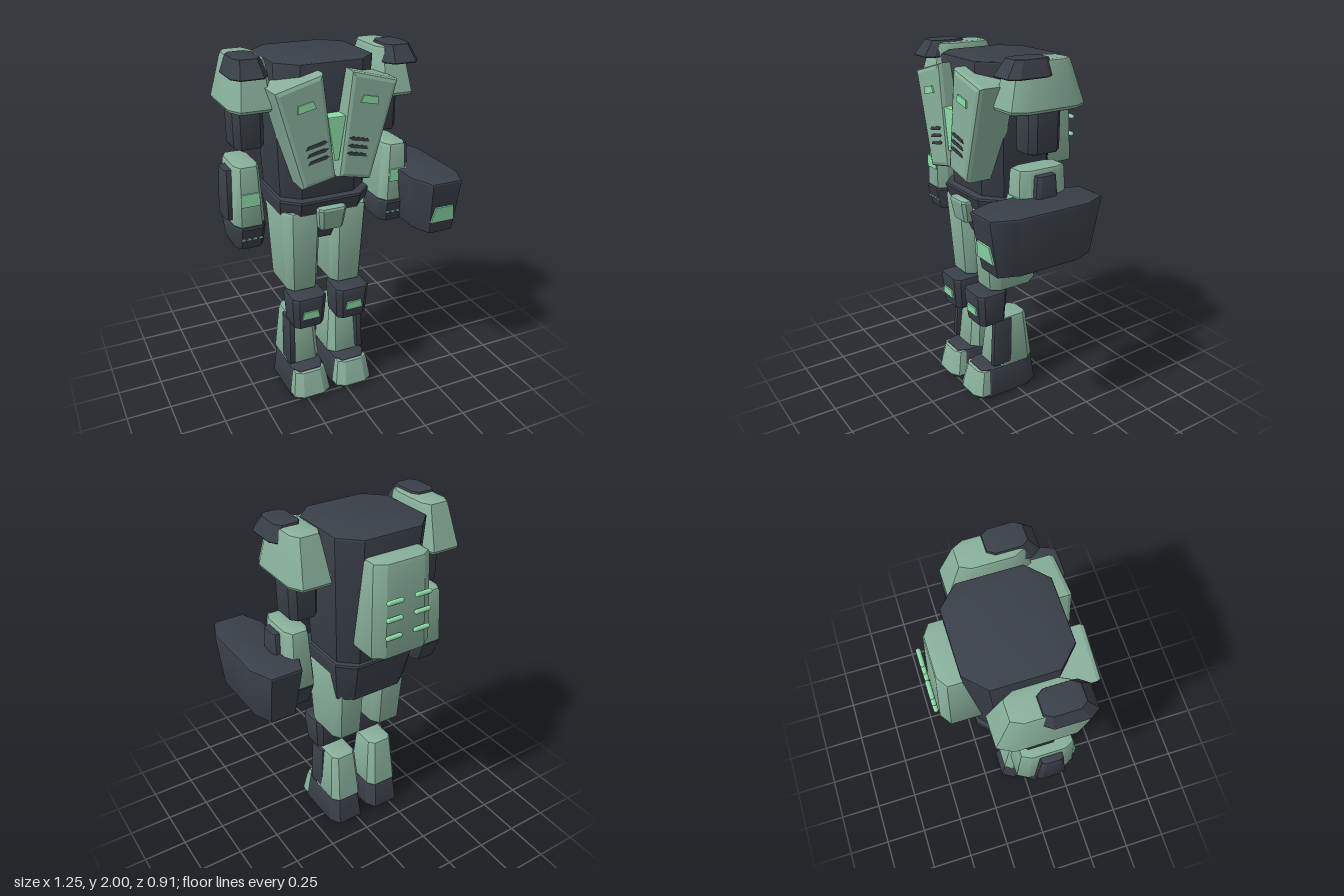
import * as THREE from 'three';
import { toCreasedNormals } from 'three/addons/utils/BufferGeometryUtils.js';

const material = (name, color) => {
  const m = new THREE.MeshStandardMaterial({ color });
  m.name = name;
  return m;
};

// Tapered block with chamfered corners and rounded rims.
// Each end is [y, x0, x1, z0, z1]; f is the chamfer as a share of each side.
function blockGeometry(low, high, f = 0.18, bevel = 0.015) {
  const ring = ([y, x0, x1, z0, z1], inset, lift) => {
    const cx = (x0 + x1) / 2, cz = (z0 + z1) / 2;
    const w = Math.abs(x1 - x0) / 2 - inset, d = Math.abs(z1 - z0) / 2 - inset;
    const k = 1 - 2 * f;
    return [[1, k], [1, -k], [k, -1], [-k, -1], [-1, -k], [-1, k], [-k, 1], [k, 1]]
      .map(([u, v]) => [cx + u * w, y + lift, cz + v * d]);
  };
  const q = 0.29 * bevel;
  const rings = [
    ring(low, bevel, 0), ring(low, q, q), ring(low, 0, bevel),
    ring(high, 0, -bevel), ring(high, q, -q), ring(high, bevel, 0)
  ];
  const pos = [];
  const tri = (...points) => points.forEach(p => pos.push(...p));
  for (let i = 0; i < rings.length - 1; i++) {
    for (let j = 0; j < 8; j++) {
      const n = (j + 1) % 8, a = rings[i], b = rings[i + 1];
      tri(a[j], a[n], b[n]);
      tri(a[j], b[n], b[j]);
    }
  }
  for (let j = 1; j < 7; j++) {
    tri(rings[5][0], rings[5][j], rings[5][j + 1]);
    tri(rings[0][0], rings[0][j + 1], rings[0][j]);
  }
  const g = new THREE.BufferGeometry();
  g.setAttribute('position', new THREE.Float32BufferAttribute(pos, 3));
  return toCreasedNormals(g, 0.5);
}

// Outline extruded towards +z, with an optional bevel kept inside the outline.
function plateGeometry(points, depth = 0.009, bevel = 0) {
  const shape = new THREE.Shape(points.map(p => new THREE.Vector2(...p)));
  return new THREE.ExtrudeGeometry(shape, {
    depth: depth - bevel * 2, bevelEnabled: bevel > 0, bevelSegments: 2,
    bevelSize: bevel, bevelThickness: bevel, bevelOffset: -bevel
  }).translate(0, 0, bevel);
}

const trapezoid = (bottom, top, h) =>
  [[-bottom / 2, -h / 2], [bottom / 2, -h / 2], [top / 2, h / 2], [-top / 2, h / 2]];

export function createModel() {
  const sage = material('sage armour', 0x88b09c);
  const dark = material('dark frame', 0x3a4048);
  const bright = material('bright light', 0x8cdcaa);

  const model = new THREE.Group();
  model.name = 'robot';
  const body = new THREE.Group();
  body.name = 'body';
  body.position.x = -0.085;
  model.add(body);

  const add = (name, geometry, mat, x = 0, y = 0, z = 0, rx = 0, rz = 0) => {
    const m = new THREE.Mesh(geometry, mat);
    m.name = name;
    m.position.set(x, y, z);
    m.rotation.set(rx, 0, rz);
    body.add(m);
    return m;
  };
  const block = (name, mat, low, high, f, bevel) => add(name, blockGeometry(low, high, f, bevel), mat);

  // Trunk
  block('torso', dark, [1.22, -0.24, 0.24, -0.24, 0.18], [1.96, -0.272, 0.272, -0.3, 0.23], 0.19, 0.01);
  block('pelvis', dark, [0.97, -0.225, 0.225, -0.195, 0.14], [1.24, -0.26, 0.26, -0.26, 0.225], 0.17);
  block('crotchPlate', sage, [1.06, -0.068, 0.068, 0.12, 0.24], [1.195, -0.08, 0.08, 0.12, 0.26], 0.12);
  add('chestCentre', plateGeometry([[-0.012, 1.47], [0.012, 1.47], [0.05, 1.7], [-0.05, 1.7]], 0.09, 0.005), bright, 0, 0, 0.2);

  // Backpack with three pairs of rods
  block('backpack', sage, [1.35, -0.18, 0.18, -0.43, -0.18], [1.865, -0.167, 0.167, -0.405, -0.18], 0.17, 0.02);
  for (const y of [1.68, 1.585, 1.485]) {
    for (const s of [-1, 1]) {
      const rod = new THREE.CapsuleGeometry(0.013, 0.074, 4, 10).rotateZ(Math.PI / 2);
      add('backRod', rod, bright, s * 0.085, y, -0.442);
    }
  }

  for (const s of [-1, 1]) {
    const side = (name, mat, [y0, a, b, c, d], [y1, e, g, h, i], f, bevel) =>
      block(name, mat, [y0, s * a, s * b, c, d], [y1, s * e, s * g, h, i], f, bevel);

    // Chest plate with light and slits
    const outline = [[0.005, 1.38], [0.19, 1.34], [0.335, 1.855], [0.07, 1.93]];
    outline[3] = [0.075, 1.925];
    add('chestPlate', plateGeometry(outline.map(([x, y]) => [s * x, y]), 0.22, 0.025), sage, 0, 0, 0.085);
    add('chestLight', plateGeometry(trapezoid(0.1, 0.08, 0.038)), bright, s * 0.172, 1.772, 0.304, 0, -s * 0.22);
    [1.572, 1.533, 1.494].forEach((y, i) => {
      add('chestSlit', plateGeometry([[-0.06, 0], [-0.04, -0.01], [0.06, -0.006], [0.045, 0.01], [-0.04, 0.01]]
        .map(([x, v]) => [s * x, v])), dark, s * (0.118 - i * 0.006), y, 0.3, 0, -s * 0.24);
    });

    // Shoulder and arm
    side('shoulder', sage, [1.735, 0.27, 0.508, -0.235, 0.21], [1.988, 0.3, 0.465, -0.165, 0.155], 0.17, 0.02);
    side('shoulderCap', dark, [1.91, 0.315, 0.505, -0.03, 0.235], [2.0, 0.338, 0.475, -0.02, 0.18], 0.18, 0.006);
    side('upperArm', dark, [1.515, 0.302, 0.463, -0.11, 0.085], [1.8, 0.3, 0.465, -0.11, 0.085]);
    side('forearm', sage, [1.12, 0.338, 0.512, -0.135, 0.17], [1.46, 0.358, 0.496, -0.115, 0.16], 0.18, 0.02);
    side('hand', dark, [0.995, 0.345, 0.508, -0.09, 0.15], [1.135, 0.336, 0.514, -0.13, 0.178]);
    side('armGuard', dark, [1.16, 0.47, 0.545, -0.045, 0.11], [1.43, 0.47, 0.535, -0.025, 0.09], 0.18, 0.008);
    add('armLight', plateGeometry(trapezoid(0.102, 0.1, 0.07)), bright, s * 0.428, 1.282, 0.166);
    for (let i = 0; i < 4; i++) {
      add('knuckle', plateGeometry(trapezoid(0.026, 0.012, 0.014), 0.006), sage, s * (0.378 + i * 0.032), 1.06, 0.162);
    }

    // Leg
    side('thigh', sage, [0.675, 0.038, 0.23, -0.135, 0.165], [1.17, 0.028, 0.248, -0.17, 0.198], 0.17, 0.02);
    side('knee', dark, [0.47, 0.042, 0.222, 0.068, 0.235], [0.67, 0.03, 0.233, 0.057, 0.252], 0.15, 0.015);
    add('kneeLight', plateGeometry(trapezoid(0.105, 0.085, 0.048)), bright, s * 0.133, 0.562, 0.244, 0.08);
    side('lowerLeg', sage, [0.17, 0.03, 0.235, -0.12, 0.145], [0.49, 0.052, 0.213, -0.085, 0.115], 0.17, 0.02);
    side('shinGuard', dark, [0.2, 0.195, 0.236, 0.04, 0.165], [0.485, 0.19, 0.228, 0.035, 0.15], 0.12, 0.006);
    side('foot', dark, [0.003, 0.018, 0.25, -0.14, 0.265], [0.185, 0.035, 0.235, -0.12, 0.235], 0.17, 0.015);
    side('toeCap', sage, [0.022, 0.022, 0.246, 0.14, 0.285], [0.178, 0.043, 0.227, 0.14, 0.252], 0.22, 0.01);
  }

  // Weapon block on the left arm
  block('weapon', dark, [1.005, 0.46, 0.688, -0.165, 0.408], [1.315, 0.428, 0.708, -0.22, 0.455], 0.19, 0.01);
  add('weaponLight', plateGeometry(trapezoid(0.145, 0.108, 0.092)), bright, 0.569, 1.125, 0.427, 0.15);

  // Set the lowest sole on the ground
  body.position.y = -0.003;
  return model;
}
